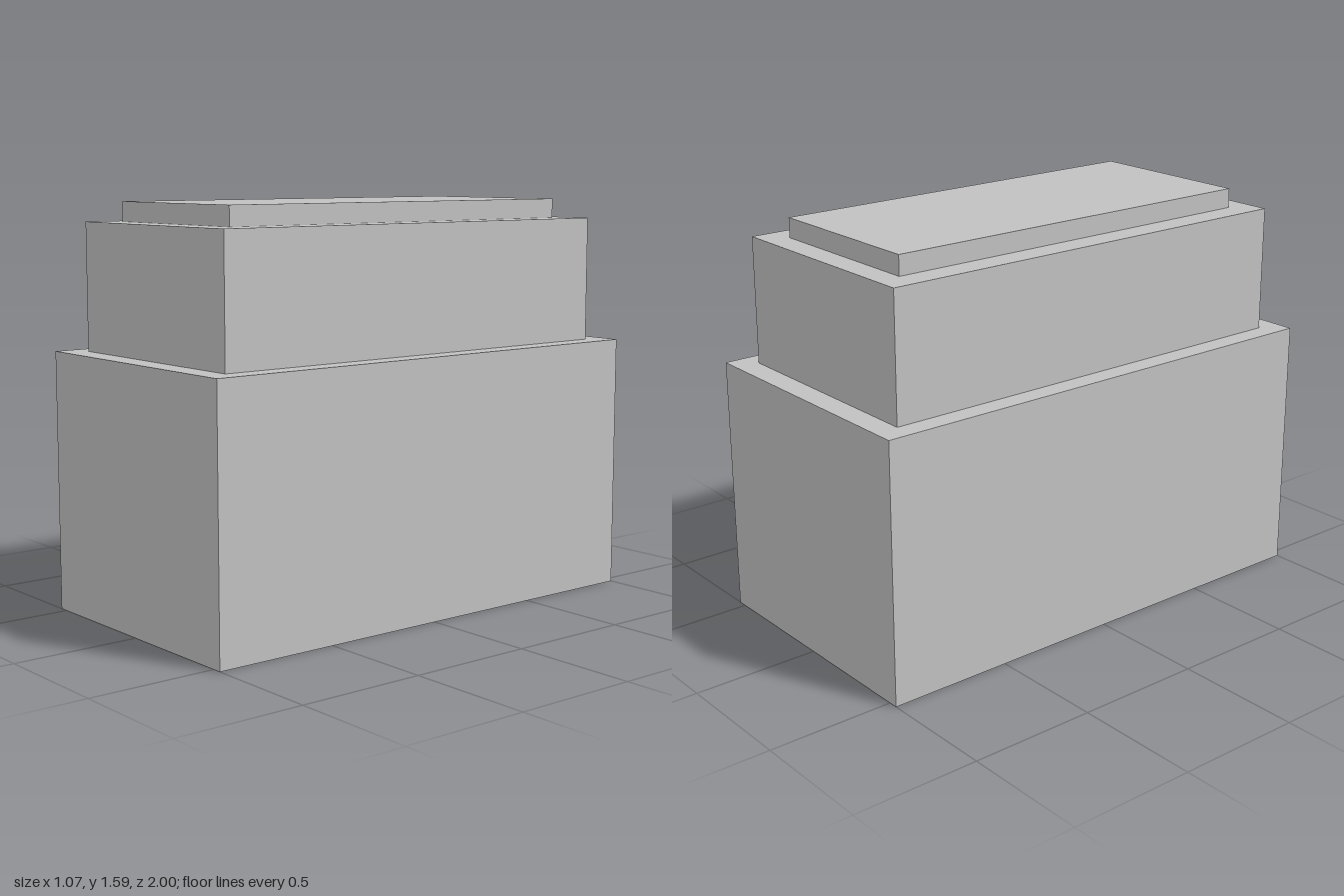
import * as THREE from 'three';

export function createModel() {
  const group = new THREE.Group();
  group.name = 'steppedBlock';
  const grey = new THREE.MeshStandardMaterial({ color: 0xc0c0c0 });
  grey.name = 'light grey';

  // Stacked tiers: name, width, depth, bottom, top
  const tiers = [
    ['baseBlock', 1.074, 2, 0, 1.017],
    ['upperBlock', 0.905, 1.81, 1.017, 1.513],
    ['roofSlab', 0.695, 1.613, 1.513, 1.59],
  ];
  for (const [name, width, depth, bottom, top] of tiers) {
    const mesh = new THREE.Mesh(new THREE.BoxGeometry(width, top - bottom, depth), grey);
    mesh.name = name;
    mesh.position.y = (bottom + top) / 2;
    group.add(mesh);
  }
  return group;
}
